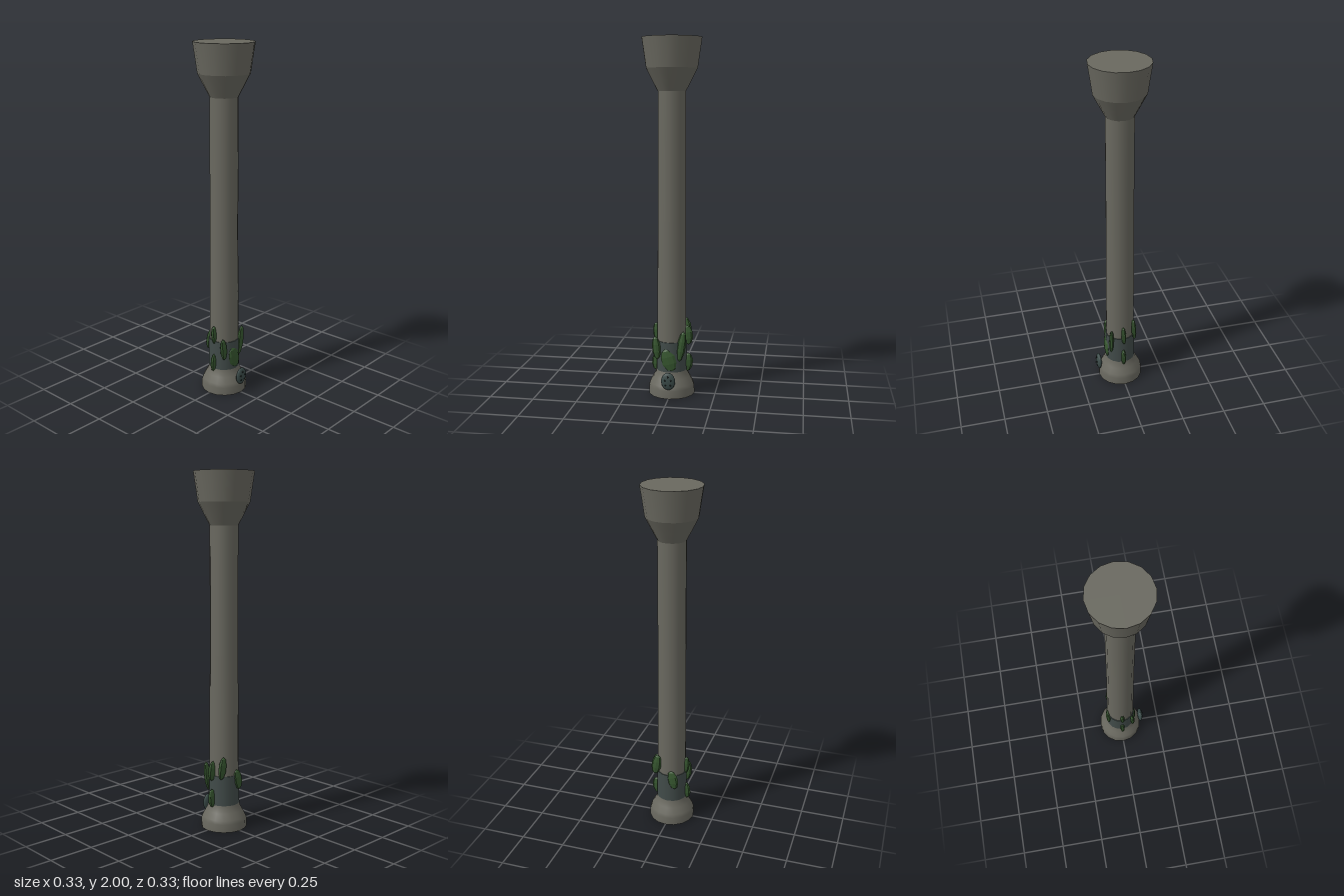
import * as THREE from 'three';

const material = (name, color, extra = {}) => {
  const m = new THREE.MeshStandardMaterial({ color, ...extra });
  m.name = name;
  return m;
};

export function createModel() {
  const stone = material('stone', 0x69685f);
  const bandStone = material('dampStone', 0x414b49);
  const moss = material('moss', 0x36562f, { flatShading: true });
  const plate = material('plaque', 0x3a4a48);
  const dark = material('studs', 0x18211f);
  const model = new THREE.Group();
  model.name = 'mossyColumn';

  const add = (name, geometry, mat, position = [0, 0, 0], parent = model) => {
    const mesh = new THREE.Mesh(geometry, mat);
    mesh.name = name;
    mesh.position.set(...position);
    parent.add(mesh);
    return mesh;
  };

  // Turned sections, each smooth in itself with sharp joints between them
  const turned = (name, mat, ...points) =>
    add(name, new THREE.LatheGeometry(points.map(p => new THREE.Vector2(...p)), 16), mat);

  turned('underside', stone, [0, 0], [0.131, 0]);
  turned('foot', stone, [0.131, 0], [0.13, 0.045], [0.123, 0.065], [0.104, 0.1], [0.092, 0.122], [0.087, 0.145]);
  turned('lowerBand', bandStone, [0.088, 0.14], [0.087, 0.312]);
  turned('bandRim', bandStone, [0.087, 0.312], [0.08, 0.312]);
  turned('shaft', stone, [0.083, 0.3], [0.082, 0.6], [0.079, 1.0], [0.078, 1.71]);
  turned('capitalNeck', stone, [0.078, 1.71], [0.11, 1.77], [0.143, 1.835]);
  turned('capital', stone, [0.143, 1.835], [0.155, 1.92], [0.167, 2]);
  turned('topFace', stone, [0.167, 2], [0, 2]);

  // Flat lumps of moss: x, y, z, width, height, lean
  const clumps = [
    [-0.005, 0.21, 0.082, 0.085, 0.135, 0.3],
    [0.065, 0.29, 0.068, 0.05, 0.18, -0.15],
    [0.09, 0.34, 0, 0.065, 0.115, 0.1],
    [0.09, 0.18, 0, 0.065, 0.11, -0.1],
    [0.075, 0.365, -0.066, 0.06, 0.13, 0.15],
    [-0.03, 0.285, -0.082, 0.065, 0.12, -0.2],
    [-0.085, 0.35, 0, 0.045, 0.115, 0.1],
    [-0.087, 0.18, 0, 0.055, 0.11, -0.1],
    [-0.078, 0.275, 0.066, 0.05, 0.135, 0.1],
  ];
  const lump = new THREE.SphereGeometry(0.5, 8, 5);
  clumps.forEach(([x, y, z, w, h, lean], i) => {
    const mesh = add(`mossClump${i + 1}`, lump, moss, [x, y, z]);
    mesh.scale.set(w, h, 0.028);
    mesh.rotation.z = lean;
  });

  // Oval plaque with small studs on the front of the foot
  const plaque = new THREE.Group();
  plaque.name = 'plaque';
  plaque.position.set(0, 0.105, 0.132);
  model.add(plaque);
  add('plaqueBody', new THREE.SphereGeometry(0.5, 16, 10), plate, [0, 0, 0], plaque)
    .scale.set(0.08, 0.1, 0.032);
  const studs = [[-0.017, 0.008], [0.017, 0.008], [0, 0.028], [-0.014, -0.02], [0.014, -0.02]];
  studs.forEach(([x, y], i) =>
    add(`stud${i + 1}`, new THREE.SphereGeometry(0.005, 8, 6), dark, [x, y, 0.013], plaque));

  return model;
}
